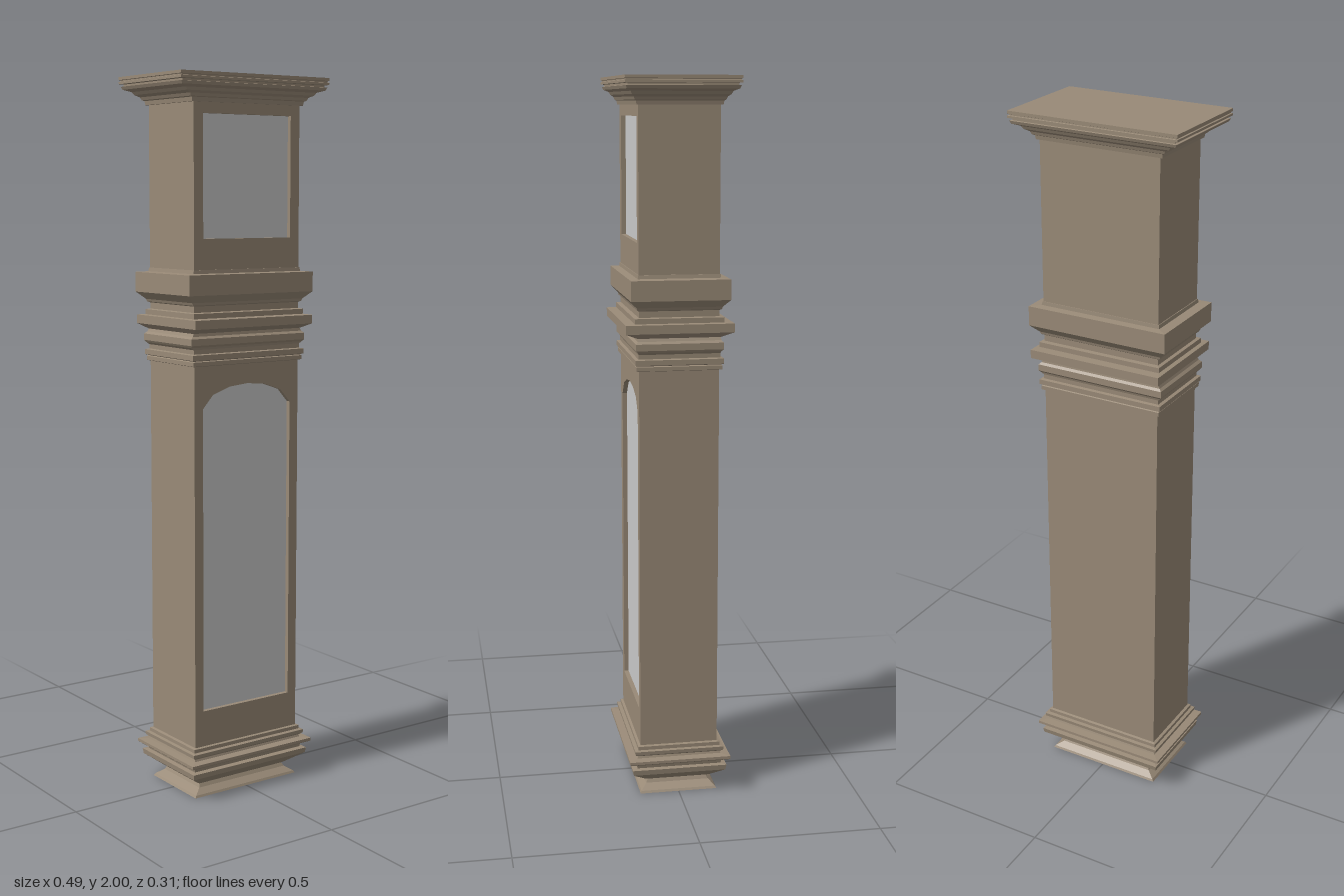
import * as THREE from 'three';

const wood = new THREE.MeshStandardMaterial({ color: 0x998a77, flatShading: true });
const pane = new THREE.MeshStandardMaterial({ color: 0xcccccc });
const HX = 0.176, HZ = 0.11, RECESS = 0.015;

// Rectangular moulding: rows of [y, half width, half depth] from bottom to top, capped at both ends
function moulding(name, rows) {
  const pos = [];
  const ring = ([y, x, z]) => [[-x, y, z], [x, y, z], [x, y, -z], [-x, y, -z]];
  const quad = (a, b, c, d) => pos.push(...a, ...b, ...c, ...a, ...c, ...d);
  for (let i = 0; i < rows.length - 1; i++) {
    const lo = ring(rows[i]), hi = ring(rows[i + 1]);
    for (let k = 0; k < 4; k++) {
      const n = (k + 1) % 4;
      quad(lo[k], lo[n], hi[n], hi[k]);
    }
  }
  const b = ring(rows[0]), t = ring(rows[rows.length - 1]);
  quad(b[3], b[2], b[1], b[0]);
  quad(t[0], t[1], t[2], t[3]);
  const geo = new THREE.BufferGeometry();
  geo.setAttribute('position', new THREE.Float32BufferAttribute(pos, 3));
  geo.computeVertexNormals();
  const mesh = new THREE.Mesh(geo, wood);
  mesh.name = name;
  return mesh;
}

// Case section: solid body, front frame with an opening, and a recessed pane
function caseSection(name, y0, y1, opening) {
  const group = new THREE.Group();
  group.name = name;
  const body = new THREE.Mesh(new THREE.BoxGeometry(HX * 2, y1 - y0, HZ * 2 - RECESS), wood);
  body.position.set(0, (y0 + y1) / 2, -RECESS / 2);
  body.name = name + 'Body';

  const points = opening.map(([x, y]) => new THREE.Vector2(x, y));
  const outline = new THREE.Shape();
  outline.moveTo(-HX, y0).lineTo(HX, y0).lineTo(HX, y1).lineTo(-HX, y1).closePath();
  outline.holes.push(new THREE.Path(points));
  const frame = new THREE.Mesh(
    new THREE.ExtrudeGeometry(outline, { depth: RECESS, bevelEnabled: false }), wood);
  frame.position.z = HZ - RECESS;
  frame.name = name + 'Frame';

  const glass = new THREE.Mesh(new THREE.ShapeGeometry(new THREE.Shape(points)), pane);
  glass.position.z = HZ - RECESS + 0.002;
  glass.name = name + 'Pane';
  group.add(body, frame, glass);
  return group;
}

export function createModel() {
  const model = new THREE.Group();
  model.name = 'longcaseClock';

  // Flared foot and stepped base
  model.add(moulding('base', [
    [0, 0.176, 0.11], [0.006, 0.172, 0.107], [0.02, 0.15, 0.09], [0.03, 0.145, 0.085],
    [0.035, 0.155, 0.092], [0.065, 0.196, 0.132], [0.08, 0.198, 0.135], [0.082, 0.185, 0.12],
    [0.092, 0.187, 0.122], [0.098, 0.203, 0.138], [0.102, 0.208, 0.144], [0.11, 0.208, 0.144],
    [0.112, 0.185, 0.12], [0.118, 0.183, 0.118], [0.124, 0.192, 0.126], [0.134, 0.193, 0.127],
    [0.136, 0.184, 0.117], [0.146, 0.184, 0.117], [0.148, 0.176, 0.11],
  ]));

  // Trunk with an arched door
  const half = [[0.148, 1.105], [0.115, 1.142], [0.06, 1.161]];
  const mirrored = half.map(([x, y]) => [-x, y]).reverse();
  model.add(caseSection('trunk', 0.14, 1.235,
    [[-0.148, 0.25], [0.148, 0.25], ...half, [0, 1.167], ...mirrored]));

  // Waist mouldings between trunk and hood
  model.add(moulding('waist', [
    [1.222, 0.178, 0.112], [1.224, 0.184, 0.118], [1.235, 0.184, 0.118], [1.237, 0.18, 0.114],
    [1.24, 0.188, 0.121], [1.254, 0.188, 0.121], [1.256, 0.179, 0.112], [1.268, 0.179, 0.112],
    [1.274, 0.187, 0.114], [1.28, 0.191, 0.12], [1.298, 0.191, 0.12], [1.304, 0.184, 0.114],
    [1.312, 0.18, 0.113], [1.326, 0.197, 0.148], [1.35, 0.197, 0.148], [1.352, 0.185, 0.122],
    [1.366, 0.185, 0.122], [1.368, 0.176, 0.11], [1.385, 0.176, 0.11], [1.388, 0.183, 0.115],
    [1.395, 0.186, 0.117], [1.415, 0.208, 0.135], [1.47, 0.208, 0.135], [1.472, 0.18, 0.113],
    [1.482, 0.178, 0.112],
  ]));

  // Hood with a rectangular window
  model.add(caseSection('hood', 1.46, 1.94,
    [[-0.146, 1.565], [0.146, 1.565], [0.146, 1.896], [-0.146, 1.896]]));

  // Stepped cornice
  model.add(moulding('cornice', [
    [1.925, 0.184, 0.115], [1.936, 0.186, 0.117], [1.938, 0.192, 0.121], [1.946, 0.196, 0.124],
    [1.952, 0.21, 0.131], [1.96, 0.216, 0.135], [1.966, 0.237, 0.148], [1.974, 0.241, 0.151],
    [1.975, 0.234, 0.146], [1.98, 0.234, 0.146], [1.981, 0.245, 0.154], [1.987, 0.245, 0.154],
    [1.988, 0.241, 0.151], [1.991, 0.241, 0.151], [1.992, 0.245, 0.154], [2, 0.245, 0.154],
  ]));
  return model;
}
